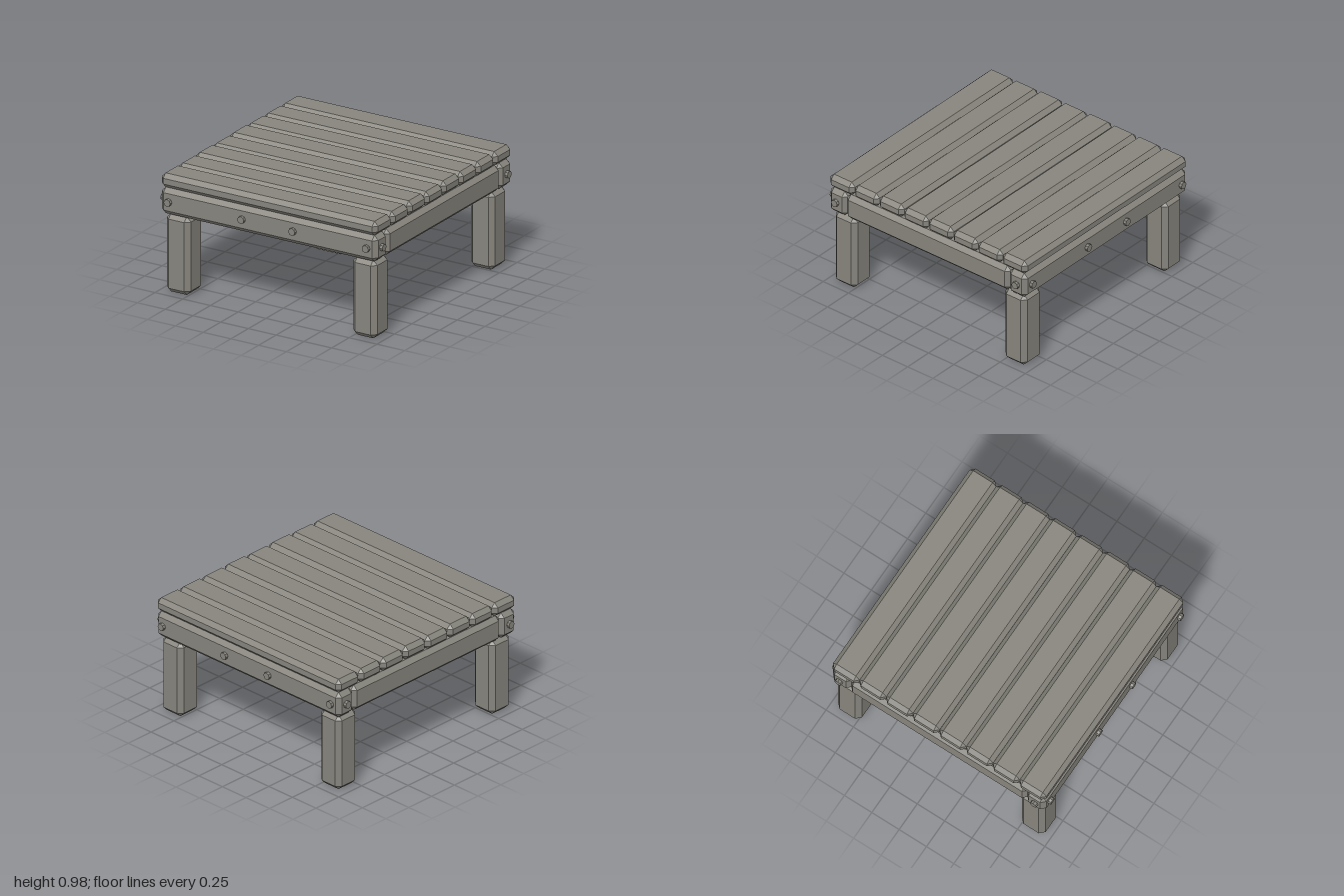
import * as THREE from 'three';
import { ConvexGeometry } from 'three/addons/geometries/ConvexGeometry.js';

// Box with flat 45 degree chamfers on every edge
function chamferBox(w, h, d, c) {
  const pts = [];
  for (const sx of [-1, 1]) for (const sy of [-1, 1]) for (const sz of [-1, 1]) {
    const x = w / 2, y = h / 2, z = d / 2;
    pts.push(
      new THREE.Vector3(sx * x, sy * (y - c), sz * (z - c)),
      new THREE.Vector3(sx * (x - c), sy * y, sz * (z - c)),
      new THREE.Vector3(sx * (x - c), sy * (y - c), sz * z));
  }
  return new ConvexGeometry(pts);
}

export function createModel() {
  const group = new THREE.Group();
  const wood = new THREE.MeshStandardMaterial({ color: 0x87857d, flatShading: true });
  wood.name = 'weatheredWood';

  const add = (name, geometry, x, y, z) => {
    const mesh = new THREE.Mesh(geometry, wood);
    mesh.name = name;
    mesh.position.set(x, y, z);
    group.add(mesh);
    return mesh;
  };

  // Deck of eight planks, two of them sitting slightly proud
  const pitch = 0.244;
  const plank = chamferBox(1.95, 0.115, pitch, 0.034);
  for (let i = 0; i < 8; i++) {
    const lift = i === 3 || i === 5 ? 0.005 : 0;
    add('deckPlank', plank, 0, 0.9175 + lift, (i - 3.5) * pitch);
  }

  // Frame beams, legs and bolts, mirrored around the middle
  const longBeam = chamferBox(1.95, 0.215, 0.175, 0.036);
  const sideBeam = chamferBox(0.175, 0.215, 1.62, 0.036);
  const leg = chamferBox(0.217, 0.642, 0.217, 0.038);
  const boltZ = new THREE.CylinderGeometry(0.03, 0.03, 0.05, 8).rotateX(Math.PI / 2);
  const boltX = new THREE.CylinderGeometry(0.03, 0.03, 0.05, 8).rotateZ(Math.PI / 2);
  for (const s of [-1, 1]) {
    add('crossBeam', longBeam, 0, 0.7525, s * 0.888);
    add('sideBeam', sideBeam, s * 0.888, 0.7525, 0);
    for (const x of [-0.893, -0.23, 0.23, 0.893]) add('beamBolt', boltZ, x, 0.755, s * 0.975);
    for (const t of [-1, 1]) {
      add('leg', leg, s * 0.84, 0.321, t * 0.84);
      add('endBolt', boltX, s * 0.975, 0.755, t * 0.893);
    }
  }

  // Plain support beam and hanging post beneath the deck
  add('centreBeam', new THREE.BoxGeometry(1.64, 0.215, 0.2), 0, 0.7525, 0);
  add('centrePost', new THREE.BoxGeometry(0.22, 0.6, 0.22), 0, 0.55, 0);

  return group;
}
